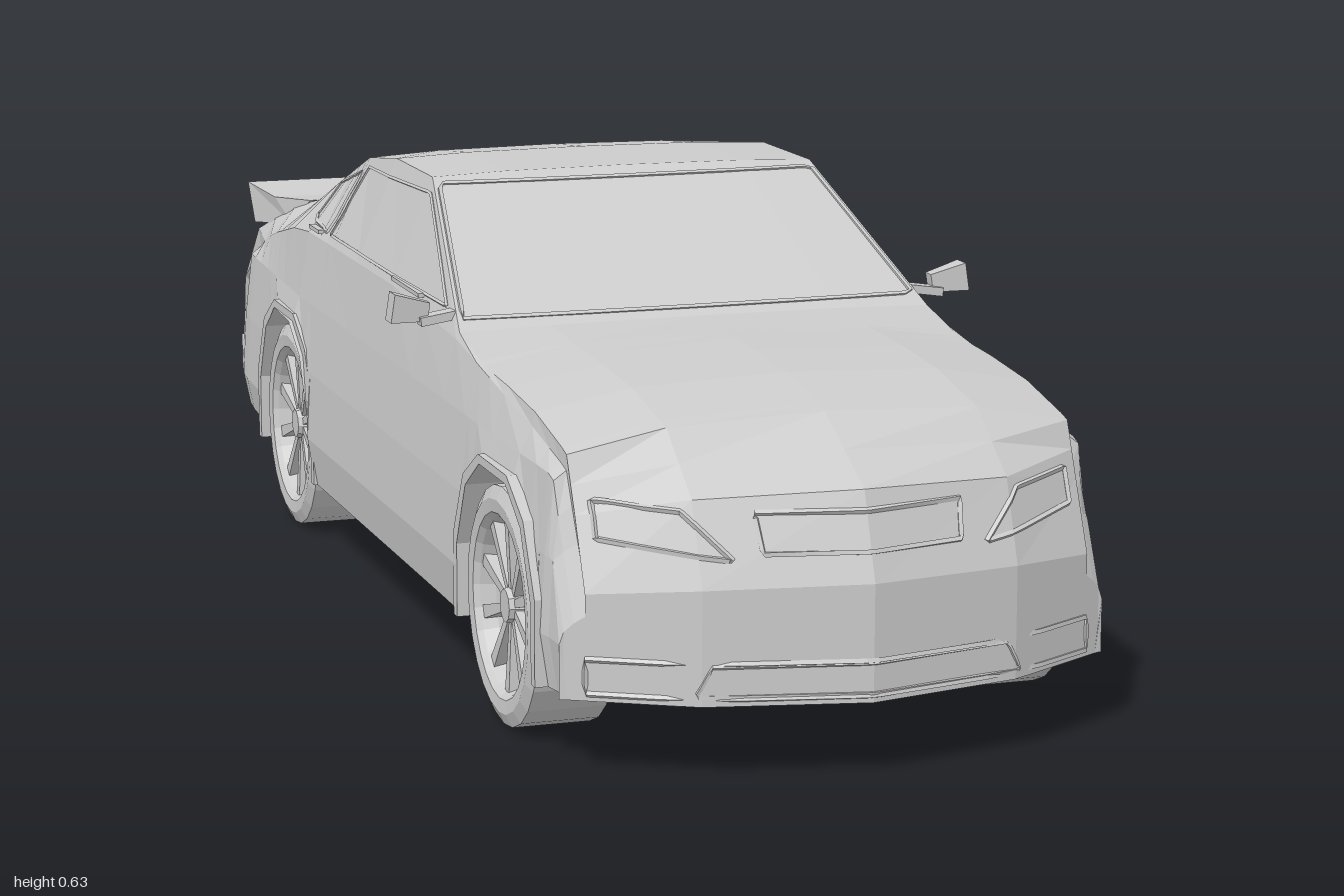
import * as THREE from 'three';

const mat = new THREE.MeshStandardMaterial({ color: 0xcccccc, flatShading: true, side: THREE.DoubleSide });
const AXLES = [0.62, -0.56], WHEEL_R = 0.157;
// wheel arch outline: offset along z, height
const ARCH = [[0.172, 0.2], [0.127, 0.29], [0.06, 0.332], [-0.06, 0.332], [-0.127, 0.29], [-0.172, 0.2]];

// piecewise linear lookup in [position, value] pairs, ascending
function lookup(table, t) {
  if (t <= table[0][0]) return table[0][1];
  for (let i = 1; i < table.length; i++) {
    const [a, va] = table[i - 1], [b, vb] = table[i];
    if (t <= b) return va + (vb - va) * (t - a) / (b - a);
  }
  return table[table.length - 1][1];
}

// profiles along the length of the car
const topY = [[-0.98, 0.33], [-0.92, 0.42], [-0.82, 0.47], [-0.56, 0.553], [-0.36, 0.61], [-0.2, 0.628], [0, 0.628], [0.33, 0.465], [0.65, 0.458], [0.82, 0.43], [0.96, 0.36], [1, 0.25]];
const edgeDrop = [[-0.98, 0.01], [-0.56, 0.012], [-0.2, 0.006], [0.33, 0.004], [0.45, 0.025], [0.82, 0.035], [0.96, 0.035], [1, 0.015]];
const edgeX = [[-0.98, 0.345], [-0.9, 0.33], [-0.76, 0.268], [-0.36, 0.285], [0, 0.285], [0.33, 0.338], [1, 0.335]];
const beltY = [[-0.98, 0.3], [-0.92, 0.38], [-0.8, 0.42], [-0.56, 0.47], [0, 0.47], [0.33, 0.452], [0.65, 0.41], [0.82, 0.375], [0.96, 0.29], [1, 0.21]];
const widthScale = [[-1, 0.91], [-0.9, 0.96], [-0.5, 1], [0.3, 0.985], [0.6, 0.985], [1, 0.95]];
const floorY = [[-0.98, 0.12], [-0.72, 0.115], [-0.4, 0.1]];
const noseSweep = [[0, 0], [0.21, 0.045], [0.36, 0.13]];

// one ring of the body shell; arch lifts the lower side, flat collapses it to a line
function section({ z, arch = 0, flat }) {
  const floor = lookup(floorY, z), top = lookup(topY, z), drop = lookup(edgeDrop, z);
  const ex = lookup(edgeX, z), belt = lookup(beltY, z), k = lookup(widthScale, z);
  const low = Math.max(arch, floor), side = (y, i) => Math.max(Math.min(y, belt - 0.012 * i), low);
  const half = [
    [0, top], [ex * 0.62, top - drop * 0.25], [ex, top - drop], [0.348 * k, belt],
    [0.365 * k, side(0.37, 1)], [0.377 * k, side(0.27, 2)], [0.383 * k, side(0.17, 3)],
    [0.372 * k, low], [0.235, low], [0.235, floor], [0, floor],
  ];
  const ring = half.concat(half.slice(1, -1).reverse().map(([x, y]) => [-x, y]));
  const sweep = lookup([[0.81, 0], [0.96, 1]], z);
  return ring.map(([x, y]) => new THREE.Vector3(x, flat ?? y, z - sweep * lookup(noseSweep, Math.abs(x))));
}

function bodyGeometry() {
  const stations = [1, 0.96, 0.89, 0.82, 0.45 - 0.02, 0.33, 0.16, 0, -0.2, -0.36, -0.76, -0.82, -0.87, -0.92, -0.98].map(z => ({ z }));
  for (const c of AXLES) {
    stations.push({ z: c + 0.1725 }, { z: c - 0.1725 });
    for (const [dz, arch] of ARCH) stations.push({ z: c + dz, arch });
  }
  stations.sort((a, b) => b.z - a.z);
  const rings = [{ z: 1, flat: 0.1 }, ...stations, { z: -1, flat: 0.22 }].map(section);
  const pts = [];
  const tri = (a, b, c) => {
    if (new THREE.Triangle(a, b, c).getArea() > 1e-7) pts.push(a, b, c);
  };
  for (let i = 0; i + 1 < rings.length; i++) {
    const n = rings[i].length;
    for (let j = 0; j < n; j++) {
      const a = rings[i][j], b = rings[i][(j + 1) % n], c = rings[i + 1][(j + 1) % n], d = rings[i + 1][j];
      tri(a, b, c);
      tri(a, c, d);
    }
  }
  const g = new THREE.BufferGeometry().setFromPoints(pts);
  g.computeVertexNormals();
  return g;
}

function add(parent, name, geometry, x = 0, y = 0, z = 0) {
  const m = new THREE.Mesh(geometry, mat);
  m.name = name;
  m.position.set(x, y, z);
  parent.add(m);
  return m;
}

// thin trim around a polygon that is projected onto the body along an axis
function trim(parent, name, body, axis, sign, outline, r = 0.004) {
  const ray = new THREE.Raycaster(), pts = [];
  const place = { x: (u, v) => [sign * 3, v, u], y: (u, v) => [u, 3, v], z: (u, v) => [u, v, sign * 3] }[axis];
  const dir = new THREE.Vector3();
  dir[axis] = -sign;
  outline.forEach(([u, v], i) => {
    const [u2, v2] = outline[(i + 1) % outline.length];
    for (let s = 0; s < 8; s++) {
      ray.set(new THREE.Vector3(...place(u + (u2 - u) * s / 8, v + (v2 - v) * s / 8)), dir);
      const hit = ray.intersectObject(body)[0];
      if (hit) pts.push(hit.point);
    }
  });
  if (pts.length < 3) return;
  const curve = new THREE.CatmullRomCurve3(pts, true, 'catmullrom', 0);
  add(parent, name, new THREE.TubeGeometry(curve, 96, r, 4, true));
}

// wheel built around the y axis (+y outwards), then turned sideways
function wheel(name, side, z) {
  const w = new THREE.Group();
  w.name = name;
  const profile = [[0.116, 0.05], [0.122, 0.058], [0.14, 0.06], [WHEEL_R, 0.052], [WHEEL_R, -0.052], [0.135, -0.062], [0.122, -0.058], [0.114, -0.05], [0.11, 0.03], [0.116, 0.05]];
  add(w, 'tyreAndRim', new THREE.LatheGeometry(profile.map(p => new THREE.Vector2(...p)), 24));
  add(w, 'hub', new THREE.CylinderGeometry(0.022, 0.028, 0.03, 10), 0, 0.035, 0);
  add(w, 'axle', new THREE.CylinderGeometry(0.02, 0.02, 0.09, 10), 0, -0.02, 0);
  for (let i = 0; i < 10; i++) {
    const arm = new THREE.Group();
    arm.name = 'spoke';
    arm.rotation.y = i * Math.PI / 5;
    const g = new THREE.CylinderGeometry(0.016, 0.009, 0.1, 4);
    g.rotateY(Math.PI / 4).scale(1, 1, 0.8).rotateZ(-Math.PI / 2);
    add(arm, 'spokeBar', g, 0.066, 0.036, 0);
    w.add(arm);
  }
  w.rotation.z = -side * Math.PI / 2;
  w.position.set(side * 0.311, WHEEL_R, z);
  return w;
}

// angular lip around a wheel opening
function archLip(parent, side, z) {
  const inner = [[0.172, 0.1], ...ARCH, [-0.172, 0.1]];
  const outer = inner.map(([a, y]) => [a * 1.1, y > 0.1 ? y + 0.012 : y]).reverse();
  const shape = new THREE.Shape([...inner, ...outer].map(([a, y]) => new THREE.Vector2(a, y)));
  const g = new THREE.ExtrudeGeometry(shape, { depth: 0.03, bevelEnabled: false });
  g.rotateY(Math.PI / 2).translate(-0.015, 0, 0);
  add(parent, 'archLip', g, side * 0.362, 0, z);
}

// tail spoiler: side profile extruded across, wider at the tip
function spoilerGeometry() {
  const p = [[-0.78, 0.474], [-0.86, 0.47], [-0.945, 0.484], [-0.925, 0.42], [-0.82, 0.43]];
  const shape = new THREE.Shape(p.map(([z, y]) => new THREE.Vector2(-z, y)));
  const g = new THREE.ExtrudeGeometry(shape, { depth: 2, bevelEnabled: false });
  g.rotateY(Math.PI / 2).translate(-1, 0, 0);
  const pos = g.attributes.position;
  for (let i = 0; i < pos.count; i++) {
    pos.setX(i, pos.getX(i) * lookup([[-0.945, 0.345], [-0.86, 0.32], [-0.78, 0.28]], pos.getZ(i)));
  }
  g.computeVertexNormals();
  return g;
}

export function createModel() {
  const car = new THREE.Group();
  car.name = 'car';
  const body = add(car, 'body', bodyGeometry());
  add(car, 'spoiler', spoilerGeometry());

  // glass and front and rear openings
  trim(car, 'windshieldTrim', body, 'z', 1, [[-0.326, 0.474], [0.326, 0.474], [0.28, 0.615], [-0.28, 0.615]]);
  trim(car, 'rearWindowTrim', body, 'y', 1, [[-0.22, -0.4], [0.22, -0.4], [0.19, -0.65], [-0.19, -0.65]], 0.003);
  trim(car, 'grille', body, 'z', 1, [[-0.135, 0.335], [0.135, 0.335], [0.13, 0.287], [-0.13, 0.287]]);
  trim(car, 'lowerIntake', body, 'z', 1, [[-0.335, 0.153], [0.335, 0.153], [0.335, 0.109], [-0.335, 0.109]]);
  trim(car, 'lowerIntakeCentre', body, 'z', 1, [[-0.195, 0.15], [0.195, 0.15], [0.215, 0.112], [-0.215, 0.112]], 0.003);
  trim(car, 'plateFrame', body, 'z', -1, [[-0.075, 0.39], [0.075, 0.39], [0.065, 0.345], [-0.065, 0.345]]);

  for (const s of [1, -1]) {
    const side = s > 0 ? 'left' : 'right';
    trim(car, side + 'Headlight', body, 'z', 1, [[s * 0.167, 0.28], [s * 0.222, 0.337], [s * 0.315, 0.343], [s * 0.316, 0.3]]);
    trim(car, side + 'Taillight', body, 'z', -1, [[s * 0.16, 0.39], [s * 0.315, 0.39], [s * 0.325, 0.35], [s * 0.17, 0.35]]);
    trim(car, side + 'DoorWindow', body, 'x', s, [[0.25, 0.482], [0.02, 0.603], [-0.34, 0.59], [-0.385, 0.482]], 0.003);
    trim(car, side + 'QuarterWindow', body, 'x', s, [[-0.375, 0.578], [-0.54, 0.538], [-0.55, 0.488], [-0.41, 0.482]], 0.003);

    // mirror: stem and angular housing
    const mirror = new THREE.Group();
    mirror.name = side + 'Mirror';
    add(mirror, 'stem', new THREE.BoxGeometry(0.05, 0.012, 0.025), s * 0.355, 0.473, 0.275).rotation.z = -s * 0.15;
    const housing = new THREE.CylinderGeometry(0.028, 0.018, 0.052, 4).rotateY(Math.PI / 4);
    housing.rotateZ(-s * Math.PI / 2).scale(1, 1, 0.8);
    add(mirror, 'housing', housing, s * 0.392, 0.485, 0.268).rotation.z = s * 0.15;
    car.add(mirror);

    // door handles and exhaust pipes
    add(car, side + 'DoorHandle', new THREE.BoxGeometry(0.01, 0.006, 0.15), s * 0.341, 0.48, 0.07);
    add(car, side + 'RearTrim', new THREE.BoxGeometry(0.01, 0.006, 0.06), s * 0.345, 0.48, -0.46);
    const pipe = new THREE.CylinderGeometry(0.014, 0.014, 0.07, 8, 1, true).rotateX(Math.PI / 2);
    add(car, side + 'Exhaust', pipe, s * 0.24, 0.118, -0.94);

    AXLES.forEach((z, i) => {
      car.add(wheel(side + (i ? 'RearWheel' : 'FrontWheel'), s, z));
      archLip(car, s, z);
    });
  }
  return car;
}
